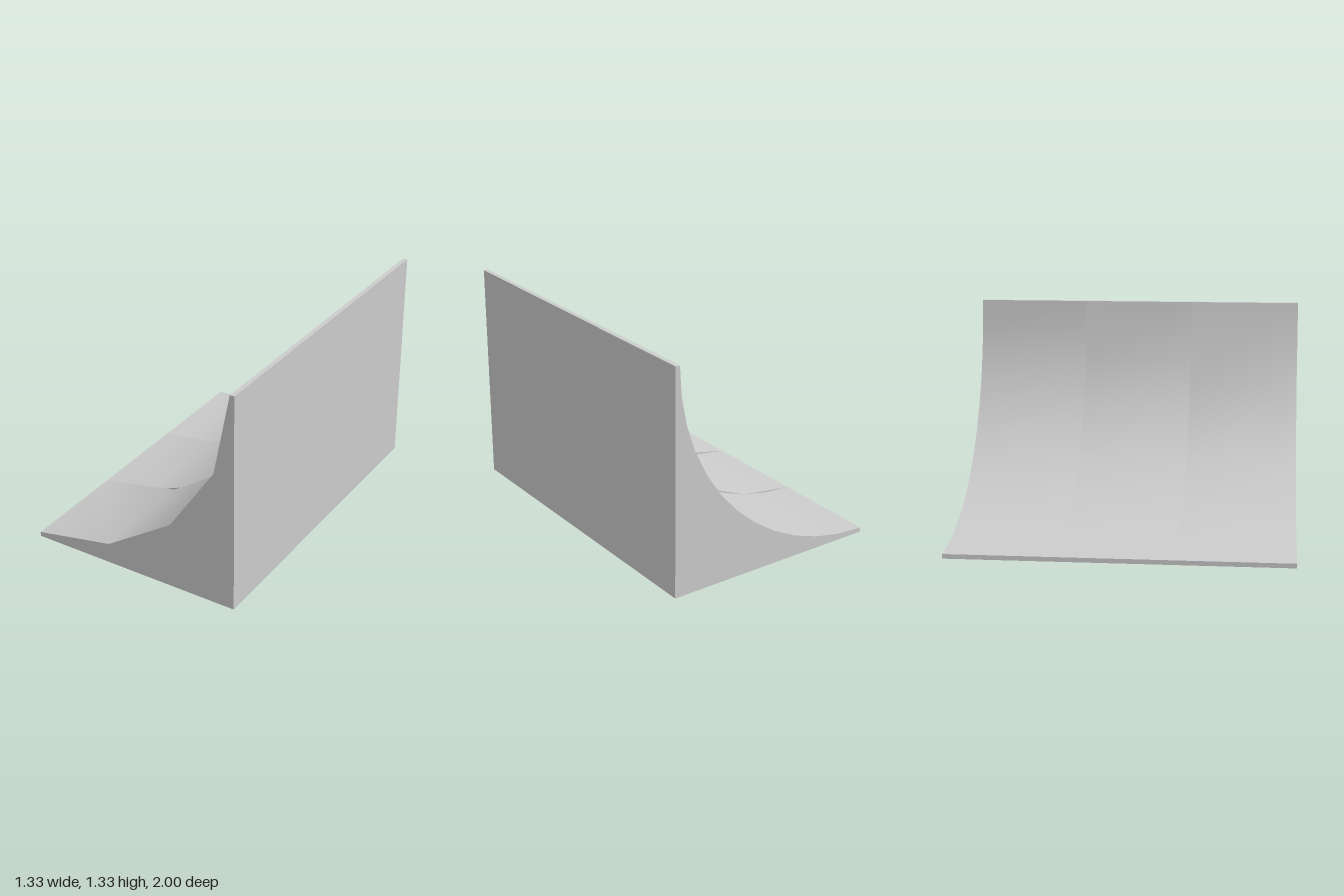
import * as THREE from 'three';
import { toCreasedNormals } from 'three/addons/utils/BufferGeometryUtils.js';

const HALF = 2 / 3;      // half of the ramp depth along x
const TOP = 4 / 3;       // ramp height
const LIP = 0.027;       // thickness of the toe and of the top edge
const RADIUS = TOP - LIP;
const WIDTH = 2 / 3;     // width of one section along z

// Quarter-pipe side profile, its arc cut into the given number of straight chords
function rampProfile(segments) {
  const shape = new THREE.Shape();
  shape.moveTo(-HALF, 0);
  shape.lineTo(HALF, 0);
  shape.lineTo(HALF, TOP);
  for (let i = segments; i >= 0; i--) {
    const a = (i / segments) * Math.PI / 2;
    shape.lineTo(-HALF + RADIUS * Math.sin(a), TOP - RADIUS * Math.cos(a));
  }
  shape.closePath();
  return shape;
}

export function createModel() {
  const group = new THREE.Group();
  group.name = 'quarterPipeRamp';
  const material = new THREE.MeshStandardMaterial({ color: 0xcccccc });

  // Three sections side by side, from fine at the back to coarse at the front
  const sections = [['backSection', 12], ['middleSection', 6], ['frontSection', 4]];
  sections.forEach(([name, segments], i) => {
    const solid = new THREE.ExtrudeGeometry(rampProfile(segments), { depth: WIDTH, bevelEnabled: false });
    // Smooth over the arc, sharp at the outer edges
    const mesh = new THREE.Mesh(toCreasedNormals(solid, Math.PI / 6), material);
    mesh.name = name;
    mesh.position.z = -1 + i * WIDTH;
    group.add(mesh);
  });
  return group;
}
